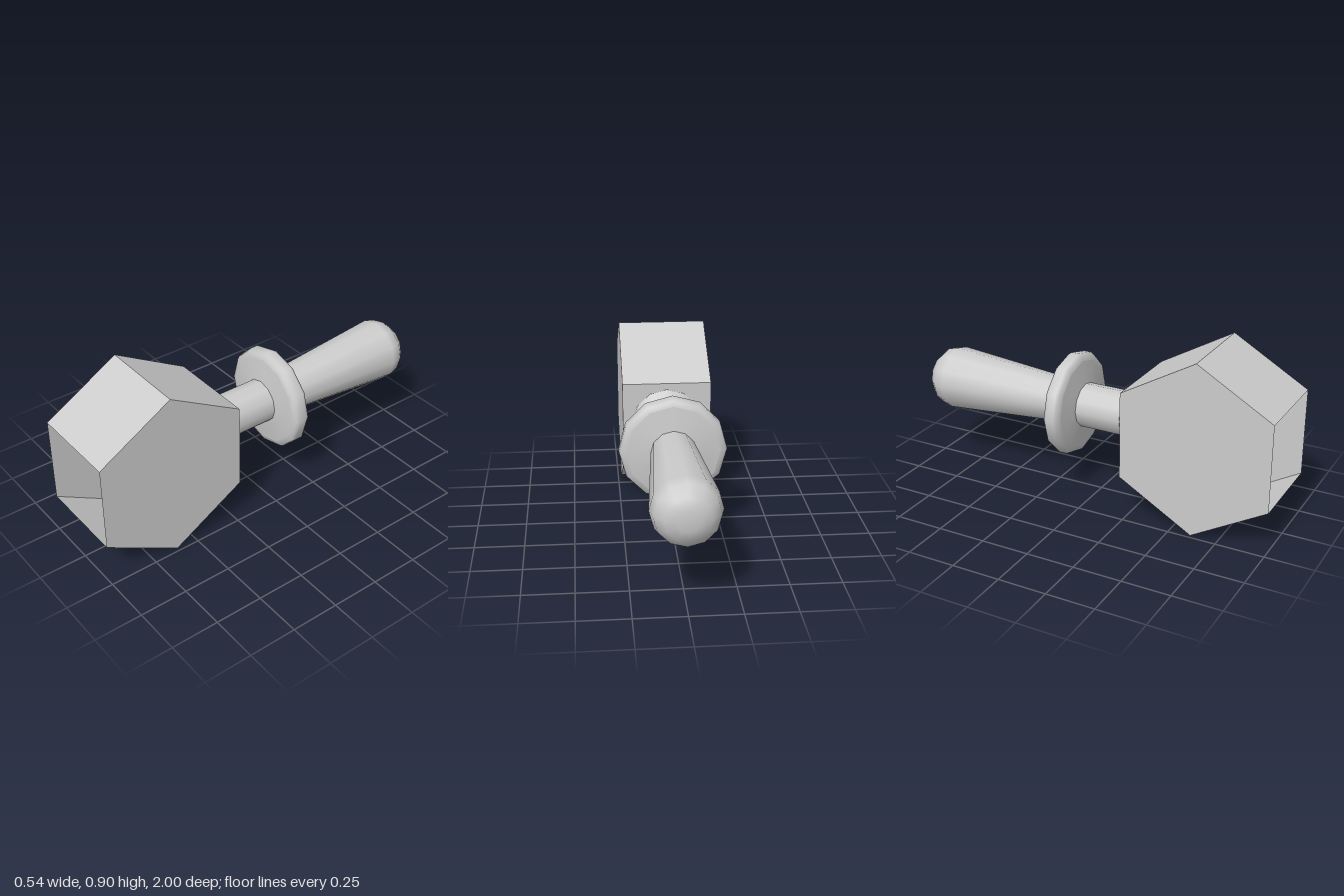
import * as THREE from 'three';

export function createModel() {
  const model = new THREE.Group();
  const grey = new THREE.MeshStandardMaterial({ color: 0xcccccc, side: THREE.DoubleSide });
  grey.name = 'light grey';

  const add = (name, geometry, parent) => {
    const mesh = new THREE.Mesh(geometry, grey);
    mesh.name = name;
    parent.add(mesh);
    return mesh;
  };

  // Hollow hexagonal head, open at the front
  const R = 0.45, apothem = R * Math.cos(Math.PI / 6), halfWidth = 0.232;
  const axisY = 0.462, flareRadius = 0.18, sides = 12;
  const head = new THREE.Group();
  head.name = 'head';
  head.position.set(0, R, 0.612);
  model.add(head);

  const place = (geometry, degrees) =>
    geometry.translate(0, 0, apothem).rotateX(-THREE.MathUtils.degToRad(degrees));
  for (const a of [60, 120, 240, 300]) {
    add('headSlope', place(new THREE.PlaneGeometry(halfWidth * 2, R), a), head);
  }

  // Back wall with a twelve-sided hole for the neck
  const wall = new THREE.Shape([
    new THREE.Vector2(-halfWidth, -R / 2), new THREE.Vector2(halfWidth, -R / 2),
    new THREE.Vector2(halfWidth, R / 2), new THREE.Vector2(-halfWidth, R / 2),
  ]);
  const rim = [];
  for (let i = 0; i < sides; i++) {
    const t = (i / sides) * Math.PI * 2;
    rim.push(new THREE.Vector2(Math.cos(t) * flareRadius, Math.sin(t) * flareRadius - (axisY - R)));
  }
  wall.holes.push(new THREE.Path(rim));
  add('headBack', place(new THREE.ShapeGeometry(wall), 180), head);

  // Hexagonal end walls
  for (const s of [-1, 1]) {
    const end = new THREE.CircleGeometry(R, 6, Math.PI / 2);
    end.rotateY(s * Math.PI / 2).translate(s * halfWidth, 0, 0);
    add(s > 0 ? 'leftEnd' : 'rightEnd', end, head);
  }

  // Turned parts, each profile given as [radius, z] from front to back
  const handle = new THREE.Group();
  handle.name = 'handle';
  handle.position.y = axisY;
  model.add(handle);
  const turn = (name, profile) => {
    const points = profile.map(([r, z]) => new THREE.Vector2(r, -z));
    add(name, new THREE.LatheGeometry(points, sides).rotateX(-Math.PI / 2), handle);
  };

  turn('neckFlare', [[flareRadius, 0.224], [0.143, 0.198], [0.115, 0.157]]);
  turn('neck', [[0.115, 0.157], [0.115, -0.09]]);
  turn('guardFront', [[0.115, -0.09], [0.235, -0.107]]);
  turn('guardRim', [[0.235, -0.107], [0.26, -0.115], [0.27, -0.132],
    [0.27, -0.172], [0.26, -0.188], [0.235, -0.197]]);
  turn('guardBack', [[0.235, -0.197], [0.115, -0.216]]);
  turn('grip', [[0.115, -0.216], [0.167, -0.875], [0.152, -0.935],
    [0.108, -0.982], [0.052, -1], [0, -1]]);

  return model;
}
